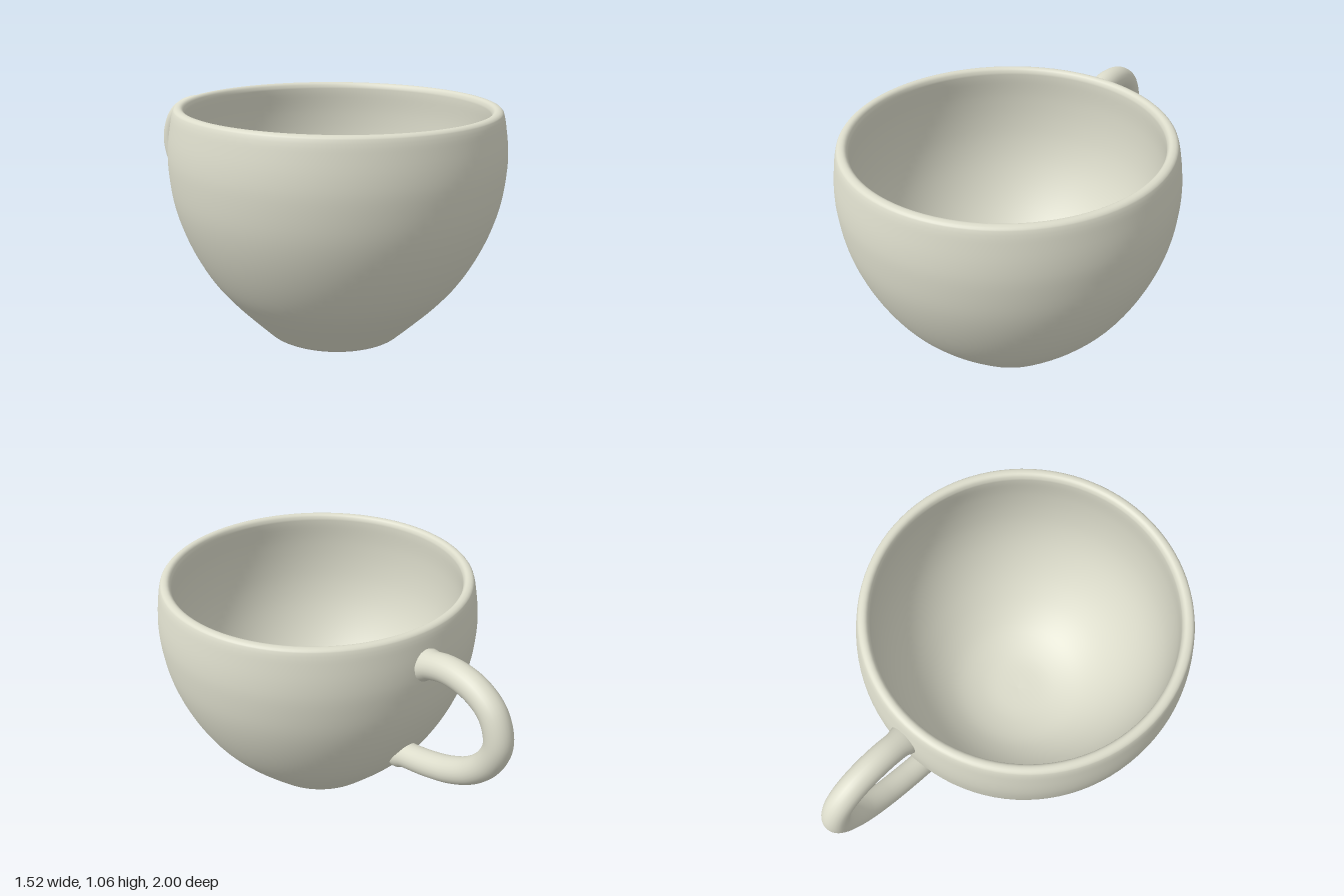
import * as THREE from 'three';

const CUP_Z = 0.24;

// Smooth curve through [x, y] pairs, sampled into Vector2 points
function sample(pairs, n) {
  return new THREE.SplineCurve(pairs.map(([x, y]) => new THREE.Vector2(x, y))).getPoints(n);
}

// Hollow bowl: base, outer wall, rounded rim and inner wall in one lathe profile
function createBowl(material) {
  const outer = sample([
    [0.33, 0], [0.42, 0.09], [0.505, 0.18], [0.585, 0.28], [0.655, 0.4], [0.71, 0.53],
    [0.745, 0.66], [0.76, 0.8], [0.757, 0.9], [0.742, 1.0], [0.734, 1.035],
  ], 40);
  const rim = sample([[0.73, 1.047], [0.722, 1.056], [0.708, 1.06], [0.695, 1.058], [0.685, 1.048], [0.68, 1.03]], 10);
  const inner = sample([
    [0.682, 1.0], [0.69, 0.9], [0.688, 0.78], [0.672, 0.66], [0.637, 0.54], [0.58, 0.42],
    [0.505, 0.31], [0.41, 0.21], [0.3, 0.135], [0.16, 0.09], [0, 0.08],
  ], 40);
  const base = [new THREE.Vector2(0, 0), new THREE.Vector2(0.31, 0)];
  const bowl = new THREE.Mesh(new THREE.LatheGeometry([...base, ...outer, ...rim, ...inner], 96), material);
  bowl.name = 'bowl';
  bowl.position.z = CUP_Z;
  return bowl;
}

// Looped handle: a tube that flares slightly where it meets the wall
function createHandle(material) {
  const path = new THREE.CatmullRomCurve3([
    [0.885, -0.475], [0.913, -0.54], [0.935, -0.62], [0.938, -0.71], [0.915, -0.81], [0.855, -0.895],
    [0.74, -0.938], [0.63, -0.905], [0.53, -0.82], [0.455, -0.7], [0.405, -0.57], [0.37, -0.44], [0.352, -0.365],
  ].map(([y, z]) => new THREE.Vector3(0, y, z)));
  const steps = 80, sides = 24;
  const geometry = new THREE.TubeGeometry(path, steps, 0.0615, sides, false);
  const pos = geometry.attributes.position;
  const normal = geometry.attributes.normal;
  const p = new THREE.Vector3(), n = new THREE.Vector3();
  for (let i = 0; i < pos.count; i++) {
    p.fromBufferAttribute(pos, i);
    n.fromBufferAttribute(normal, i);
    const gap = Math.hypot(p.x, p.z - CUP_Z) - (p.y > 0.65 ? 0.76 : 0.635);
    const flare = 0.01 * THREE.MathUtils.clamp(1 - gap / 0.03, 0, 1);
    p.addScaledVector(n, flare);
    pos.setXYZ(i, p.x, p.y, p.z);
  }
  const handle = new THREE.Mesh(geometry, material);
  handle.name = 'handle';
  return handle;
}

export function createModel() {
  const ceramic = new THREE.MeshStandardMaterial({ color: 0xdcdccb });
  ceramic.name = 'cream ceramic';
  const cup = new THREE.Group();
  cup.name = 'cup';
  cup.add(createBowl(ceramic), createHandle(ceramic));
  return cup;
}
